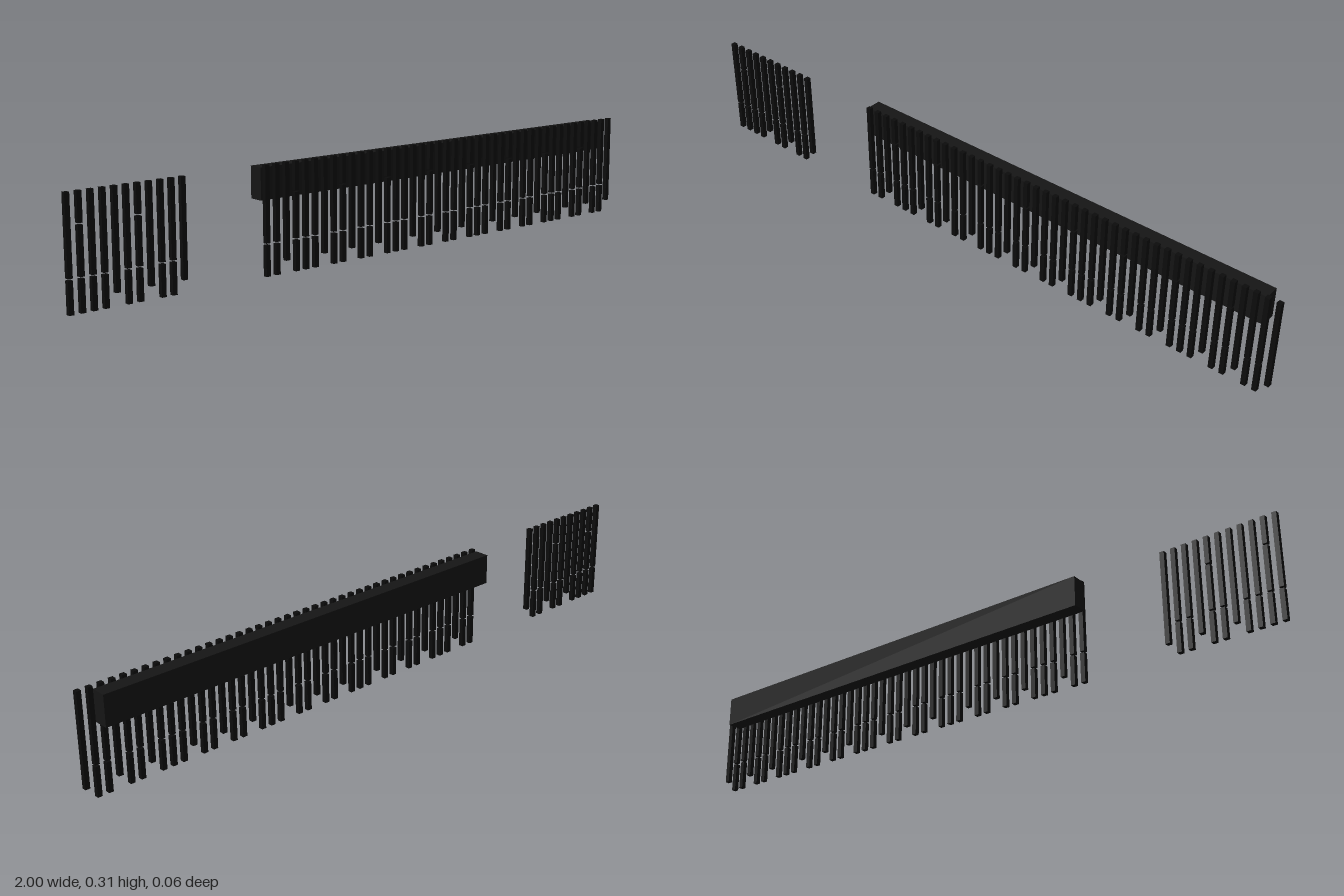
import * as THREE from 'three';

export function createModel() {
  const model = new THREE.Group();
  const picketMat = new THREE.MeshStandardMaterial({ color: 0x0c0c0c });
  const railMat = new THREE.MeshStandardMaterial({ color: 0x151515 });

  const COUNT = 61, PITCH = 0.0331, WIDTH = 0.0138;
  const TOP = 0.308, SHORT_BOTTOM = 0.035, SEAM = 0.005;
  const picketZ = 0.0222;

  // Square bar between two heights
  function addBar(parent, x, y0, y1) {
    const bar = new THREE.Mesh(new THREE.BoxGeometry(WIDTH, y1 - y0, WIDTH), picketMat);
    bar.position.set(x, (y0 + y1) / 2, picketZ);
    bar.name = 'picketSegment';
    parent.add(bar);
  }

  // Evenly spaced pickets with an opening; some end above the ground,
  // the long ones are stacked from pieces with thin seams
  for (let i = 0; i < COUNT; i++) {
    if (i > 10 && i < 18) continue;
    const picket = new THREE.Group();
    picket.name = 'picket';
    const x = (i - (COUNT - 1) / 2) * PITCH;
    const isShort = i > 0 && [0, 4, 7].includes(i % 10);
    const seams = isShort ? [] : [0.09];
    if (i % 5 === 1) seams.push(0.225);
    let y = isShort ? SHORT_BOTTOM : 0;
    for (const s of seams) {
      addBar(picket, x, y, s - SEAM / 2);
      y = s + SEAM / 2;
    }
    addBar(picket, x, y, TOP);
    model.add(picket);
  }

  // Deep rail behind the long run of pickets
  const x0 = -0.41, x1 = 0.953;
  const rail = new THREE.Mesh(new THREE.BoxGeometry(x1 - x0, 0.09, 0.045), railMat);
  rail.position.set((x0 + x1) / 2, 0.255, -0.0065);
  rail.name = 'backRail';
  model.add(rail);

  return model;
}
